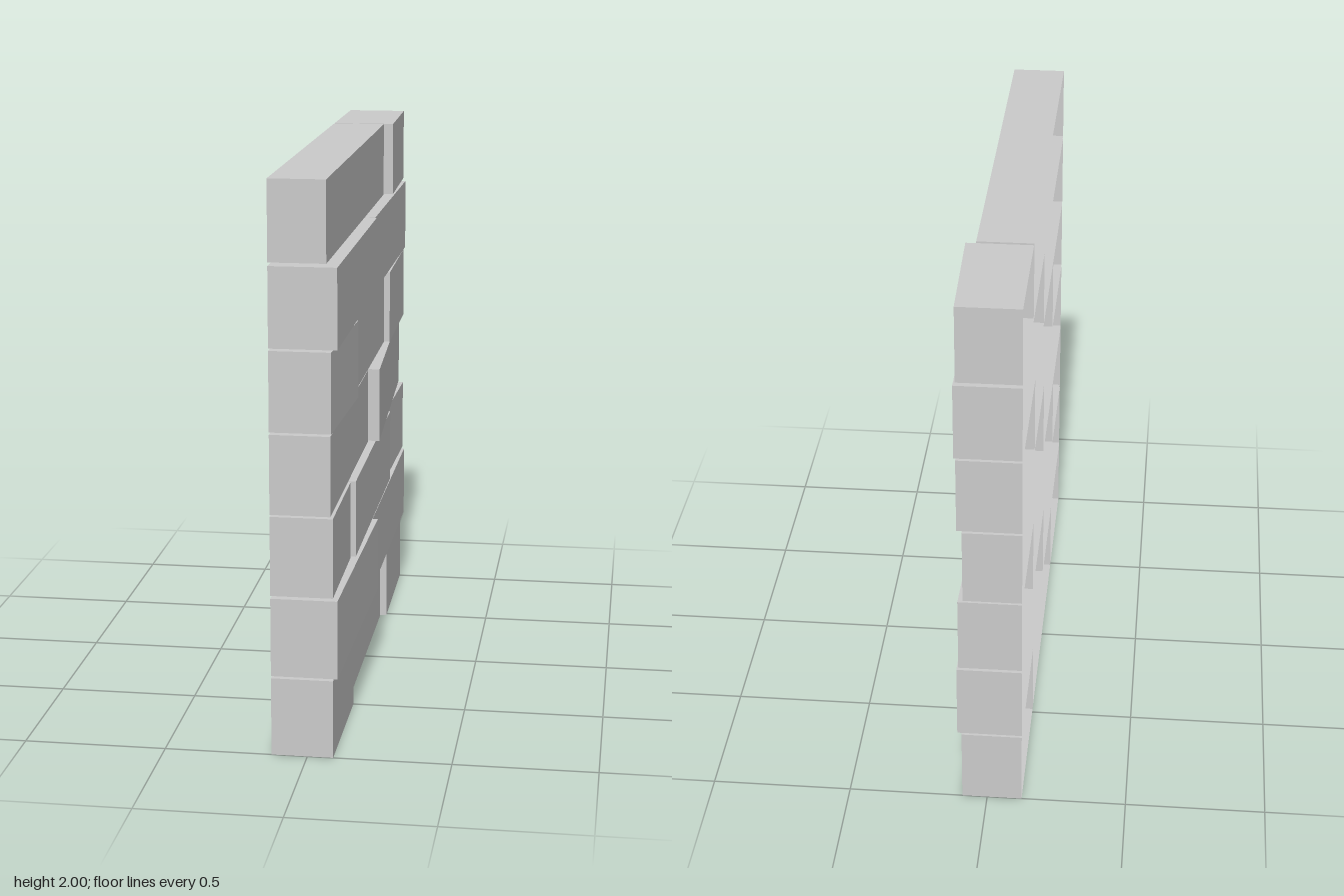
import * as THREE from 'three';

const BACK = -0.125; // plane of the open backs

// Courses from bottom to top: [bottom, top, bricks],
// each brick as [front z, rear z, face x at front z, face x at rear z]
const COURSES = [
  [0, 0.28, [[1, 0.497, 0.09, 0.092], [0.487, -0.47, 0.07, 0.07], [-0.481, -1, 0.095, 0.09]]],
  [0.288, 0.567, [[1, 0.035, 0.105, 0.122], [0.025, -1, 0.102, 0.105]]],
  [0.577, 0.857, [[1, 0.544, 0.09, 0.088], [0.534, -0.495, 0.105, 0.105], [-0.506, -1, 0.088, 0.098]]],
  [0.864, 1.142, [[1, 0.005, 0.082, 0.08], [-0.005, -1, 0.122, 0.08]]],
  [1.15, 1.428, [[1, 0.47, 0.085, 0.105], [0.46, -0.45, 0.083, 0.083], [-0.46, -1, 0.105, 0.098]]],
  [1.436, 1.712, [[1, -0.03, 0.106, 0.106], [-0.04, -1, 0.1, 0.104]]],
  [1.724, 2, [[1, -0.531, 0.07, 0.07], [-0.544, -1, 0.105, 0.095]]],
];

// Hollow five-sided brick, open at the back, with a face that may slant along z
function brickGeometry(bottom, top, [z0, z1, x0, x1]) {
  const geometry = new THREE.BoxGeometry(1, 1, 1).toNonIndexed();
  const p = geometry.attributes.position;
  for (let i = 0; i < p.count; i++) {
    const front = p.getZ(i) > 0;
    p.setXYZ(
      i,
      p.getX(i) < 0 ? BACK : front ? x0 : x1,
      p.getY(i) > 0 ? top : bottom,
      front ? z0 : z1
    );
  }
  // Leave out the side that faces -x
  const open = new THREE.BufferGeometry();
  const kept = [...p.array.slice(0, 18), ...p.array.slice(36)];
  open.setAttribute('position', new THREE.Float32BufferAttribute(kept, 3));
  open.computeVertexNormals();
  return open;
}

export function createModel() {
  const wall = new THREE.Group();
  wall.name = 'brickWall';
  const material = new THREE.MeshStandardMaterial({
    color: 0xcccccc, flatShading: true, side: THREE.DoubleSide,
  });

  COURSES.forEach(([bottom, top, bricks], row) => {
    const course = new THREE.Group();
    course.name = `course${row + 1}`;
    bricks.forEach((brick, i) => {
      const mesh = new THREE.Mesh(brickGeometry(bottom, top, brick), material);
      mesh.name = `brick${i + 1}`;
      course.add(mesh);
    });
    wall.add(course);
  });
  return wall;
}
